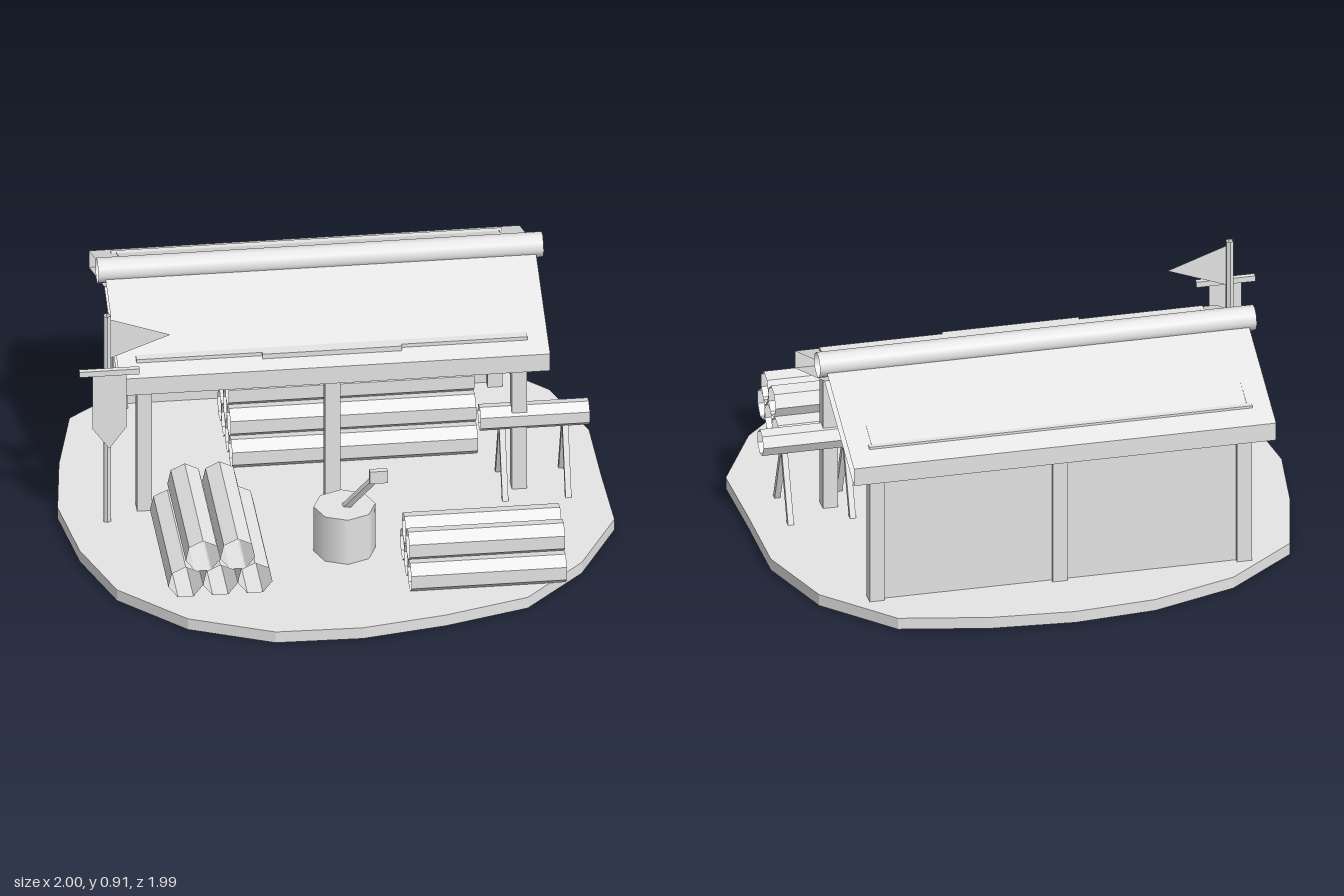
import * as THREE from 'three';

const grey = new THREE.MeshStandardMaterial({ color: 0xe5e5e5, side: THREE.DoubleSide });
grey.name = 'grey';

export function createModel() {
  const model = new THREE.Group();
  const add = (name, geometry, x = 0, y = 0, z = 0, parent = model) => {
    const mesh = new THREE.Mesh(geometry, grey);
    mesh.name = name;
    mesh.position.set(x, y, z);
    parent.add(mesh);
    return mesh;
  };
  const group = (name) => {
    const g = new THREE.Group();
    g.name = name;
    model.add(g);
    return g;
  };
  const box = (name, w, h, d, x, y, z, parent) =>
    add(name, new THREE.BoxGeometry(w, h, d), x, y, z, parent);
  const flat = (geometry) => {
    const g = geometry.toNonIndexed();
    g.computeVertexNormals();
    return g;
  };
  const outlineShape = (points) => new THREE.Shape(points.map(([x, y]) => new THREE.Vector2(x, y)));
  const sheet = (points) => new THREE.ShapeGeometry(outlineShape(points));
  // Square stick between two points
  const stick = (name, a, b, size, parent) => {
    const from = new THREE.Vector3(...a), to = new THREE.Vector3(...b);
    const dir = to.clone().sub(from);
    const mesh = add(name, new THREE.BoxGeometry(size, dir.length(), size), 0, 0, 0, parent);
    mesh.position.copy(from).add(to).multiplyScalar(0.5);
    mesh.quaternion.setFromUnitVectors(new THREE.Vector3(0, 1, 0), dir.normalize());
  };
  // Seven-sided open log lying along x or z
  const logGeometry = (r, length, axis) => {
    const g = new THREE.CylinderGeometry(r, r, length, 7, 1, true);
    if (axis === 'x') g.rotateZ(Math.PI / 2).rotateY(Math.PI);
    else g.rotateX(-Math.PI / 2);
    return flat(g);
  };
  // Stack of logs, each row one log shorter; mid is the centre along the logs, across the centre of the rows
  const logPile = (name, axis, r, length, mid, across, pitch, bottomCount, rows, y0, rise) => {
    const pile = group(name);
    const geometry = logGeometry(r, length, axis);
    for (let row = 0; row < rows; row++) {
      const count = bottomCount - row;
      for (let i = 0; i < count; i++) {
        const c = across + (i - (count - 1) / 2) * pitch;
        const y = y0 + row * rise;
        if (axis === 'x') add('log', geometry, mid, y, c, pile);
        else add('log', geometry, c, y, mid, pile);
      }
    }
  };

  // Irregular ground slab
  const outline = [
    [0, -0.995], [-0.305, -0.97], [-0.62, -0.865], [-0.88, -0.655], [-0.957, -0.33],
    [-1, -0.01], [-0.957, 0.31], [-0.856, 0.61], [-0.625, 0.85], [-0.32, 0.983],
    [0, 0.99], [0.31, 0.933], [0.62, 0.84], [0.845, 0.61], [1, 0.31],
    [0.99, -0.01], [0.985, -0.345], [0.877, -0.655], [0.64, -0.9], [0.31, -0.97],
  ];
  add('ground', new THREE.ExtrudeGeometry(outlineShape(outline.map(([x, z]) => [x, -z])),
    { depth: 0.045, bevelEnabled: false }).rotateX(-Math.PI / 2));

  // Shed frame: posts, beams and back wall
  const shed = group('shed');
  for (const z of [0.022, -0.725]) {
    for (const x of [-0.688, 0, 0.683]) box('post', 0.055, 0.635, 0.055, x, 0.362, z, shed);
    box('beam', 1.43, 0.07, 0.055, -0.003, 0.645, z, shed);
  }
  add('backWall', new THREE.PlaneGeometry(1.37, 0.6), 0, 0.345, -0.735, shed);
  box('signBoard', 0.51, 0.06, 0.015, -0.003, 0.65, 0.056, shed);

  // Gable triangles
  const gable = sheet([[-0.018, 0.68], [0.738, 0.68], [0.358, 0.823]]).rotateY(Math.PI / 2);
  for (const x of [-0.7, 0.7]) add('gable', gable, x, 0, 0, shed);

  // Roof shell, open at both ends
  const profile = [[0.115, 0.57], [0.115, 0.64], [-0.358, 0.829], [-0.83, 0.64], [-0.83, 0.57], [-0.358, 0.759]];
  const corners = [];
  profile.forEach(([za, ya], i) => {
    const [zb, yb] = profile[(i + 1) % profile.length];
    const w = 0.788;
    corners.push(-w, ya, za, w, ya, za, w, yb, zb, -w, ya, za, w, yb, zb, -w, yb, zb);
  });
  const roof = new THREE.BufferGeometry();
  roof.setAttribute('position', new THREE.Float32BufferAttribute(corners, 3));
  roof.computeVertexNormals();
  add('roof', roof, 0, 0, 0, shed);
  add('ridgeLog', new THREE.CylinderGeometry(0.048, 0.048, 1.63, 10, 1, true).rotateZ(Math.PI / 2),
    0, 0.828, -0.358, shed);

  // Log piles
  logPile('leftPile', 'z', 0.065, 0.57, 0.415, -0.488, 0.127, 3, 2, 0.11, 0.105);
  logPile('frontPile', 'x', 0.06, 0.57, 0.485, 0.617, 0.115, 3, 2, 0.1035, 0.098);
  logPile('backPile', 'x', 0.06, 0.9, 0.11, -0.4125, 0.115, 4, 3, 0.1035, 0.098);

  // Chopping block with axe
  add('choppingBlock', new THREE.CylinderGeometry(0.113, 0.113, 0.185, 8), 0, 0.1375, 0.412);
  const axe = group('axe');
  stick('axeHandle', [0, 0.22, 0.412], [0.11, 0.4, 0.51], 0.022, axe);
  box('axeHead', 0.066, 0.05, 0.022, 0.112, 0.402, 0.515, axe);

  // Sawbuck with a log across it
  const sawbuck = group('sawbuck');
  for (const x of [0.622, 0.853]) {
    for (const side of [-1, 1]) {
      stick('sawbuckLeg', [x, 0, 0.015 + side * 0.127], [x, 0.31, 0.015], 0.022, sawbuck);
    }
  }
  add('sawLog', logGeometry(0.05, 0.4, 'x'), 0.74, 0.333, 0.015, sawbuck);

  // Flagpole, pennant and hanging banner
  const flag = group('flag');
  add('flagpole', flat(new THREE.CylinderGeometry(0.015, 0.015, 0.865, 6, 1, true)), -0.832, 0.4725, 0.103, flag);
  add('pennant', sheet([[-0.832, 0.72], [-0.6, 0.808], [-0.832, 0.89]]), 0, 0, 0.103, flag);
  box('bannerBar', 0.22, 0.022, 0.02, -0.832, 0.706, 0.171, flag);
  add('banner', sheet([[-0.893, 0.7], [-0.893, 0.47], [-0.832, 0.385], [-0.77, 0.47], [-0.77, 0.7]]),
    0, 0, 0.171, flag);

  return model;
}
